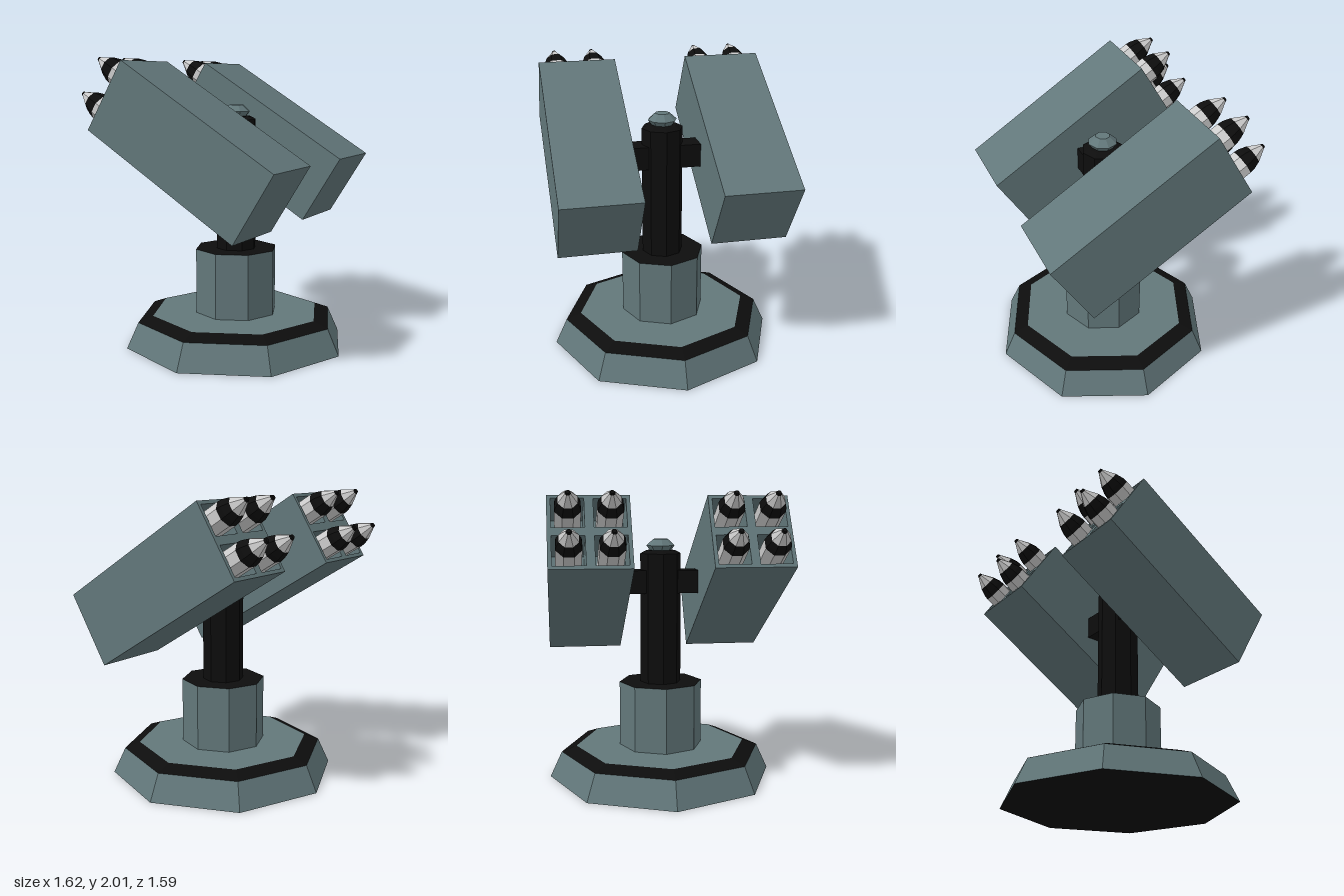
import * as THREE from 'three';

const grey = new THREE.MeshStandardMaterial({ name: 'slateGrey', color: 0x62777a, flatShading: true });
const black = new THREE.MeshStandardMaterial({ name: 'black', color: 0x0d0d0d, flatShading: true });
const silver = new THREE.MeshStandardMaterial({ name: 'silver', color: 0xcccccc, flatShading: true });

function add(parent, name, geometry, material, x = 0, y = 0, z = 0) {
  const mesh = new THREE.Mesh(geometry, material);
  mesh.name = name;
  mesh.position.set(x, y, z);
  parent.add(mesh);
  return mesh;
}

// Eight-sided tapered section between two heights; materials are [side, top, bottom]
function section(parent, name, y0, y1, r0, r1, material) {
  return add(parent, name, new THREE.CylinderGeometry(r1, r0, y1 - y0, 8), material, 0, (y0 + y1) / 2, 0);
}

// Missile pointing along +z, with y = 0 of the profile on the pod's front face
function createMissile() {
  const missile = new THREE.Group();
  missile.name = 'missile';
  const rings = [
    ['body', silver, [[0.089, -0.28], [0.089, 0.065]]],
    ['band', black, [[0.089, 0.065], [0.084, 0.1], [0.066, 0.15]]],
    ['nose', silver, [[0.066, 0.15], [0.02, 0.225]]],
    ['tip', black, [[0.02, 0.225], [0.013, 0.24], [0, 0.24]]],
  ];
  for (const [name, material, points] of rings) {
    const profile = points.map(([r, y]) => new THREE.Vector2(r, y));
    add(missile, name, new THREE.LatheGeometry(profile, 8, Math.PI / 8), material);
  }
  missile.rotation.x = Math.PI / 2;
  return missile;
}

const POD = { width: 0.53, height: 0.527, length: 1.268, depth: 0.28, hole: 0.21, pitch: 0.134 };

// Launcher pod along z: a block with four square tubes open at the front
function createPod() {
  const pod = new THREE.Group();
  pod.name = 'launcherPod';
  const { width: w, height: h, length, depth, hole, pitch } = POD;
  const rect = (path, cx, cy, a, b) => path
    .moveTo(cx - a / 2, cy - b / 2).lineTo(cx + a / 2, cy - b / 2)
    .lineTo(cx + a / 2, cy + b / 2).lineTo(cx - a / 2, cy + b / 2).closePath();

  const shape = new THREE.Shape();
  rect(shape, 0, 0, w, h);
  for (const sx of [-1, 1]) {
    for (const sy of [-1, 1]) {
      const path = new THREE.Path();
      rect(path, sx * pitch, sy * pitch, hole, hole);
      shape.holes.push(path);
      const missile = createMissile();
      missile.position.set(sx * pitch, sy * pitch, length / 2);
      pod.add(missile);
    }
  }
  add(pod, 'podTubes', new THREE.ExtrudeGeometry(shape, { depth, bevelEnabled: false }), grey, 0, 0, length / 2 - depth);
  add(pod, 'podBody', new THREE.BoxGeometry(w, h, length - depth), grey, 0, 0, -depth / 2);
  return pod;
}

export function createModel() {
  const model = new THREE.Group();
  model.name = 'missileLauncher';

  const stand = new THREE.Group();
  stand.name = 'stand';
  stand.position.x = 0.008;
  model.add(stand);

  // Octagonal foot with a black sloped rim
  section(stand, 'foot', 0, 0.18, 0.796, 0.713, [grey, grey, black]);
  section(stand, 'footRim', 0.18, 0.22, 0.713, 0.608, [black, grey, black]);

  // Pedestal, post and cap
  section(stand, 'pedestal', 0.22, 0.68, 0.294, 0.294, [grey, black, grey]);
  section(stand, 'post', 0.68, 1.59, 0.143, 0.143, black);
  section(stand, 'postTop', 1.59, 1.612, 0.143, 0.1, black);
  section(stand, 'capLower', 1.612, 1.645, 0.075, 0.1, grey);
  section(stand, 'capUpper', 1.645, 1.69, 0.1, 0.05, grey);

  // Cross arm carrying the pods
  add(stand, 'crossArm', new THREE.BoxGeometry(0.16, 0.16, 0.52), black, 0, 1.395, 0);

  // Two pods tilted up towards -x
  for (const side of [-1, 1]) {
    const mount = new THREE.Group();
    mount.name = side > 0 ? 'frontMount' : 'backMount';
    mount.position.set(0.008, 1.4275, side * 0.518);
    mount.rotation.z = -0.552;
    const pod = createPod();
    pod.rotation.y = -Math.PI / 2;
    mount.add(pod);
    model.add(mount);
  }
  return model;
}
